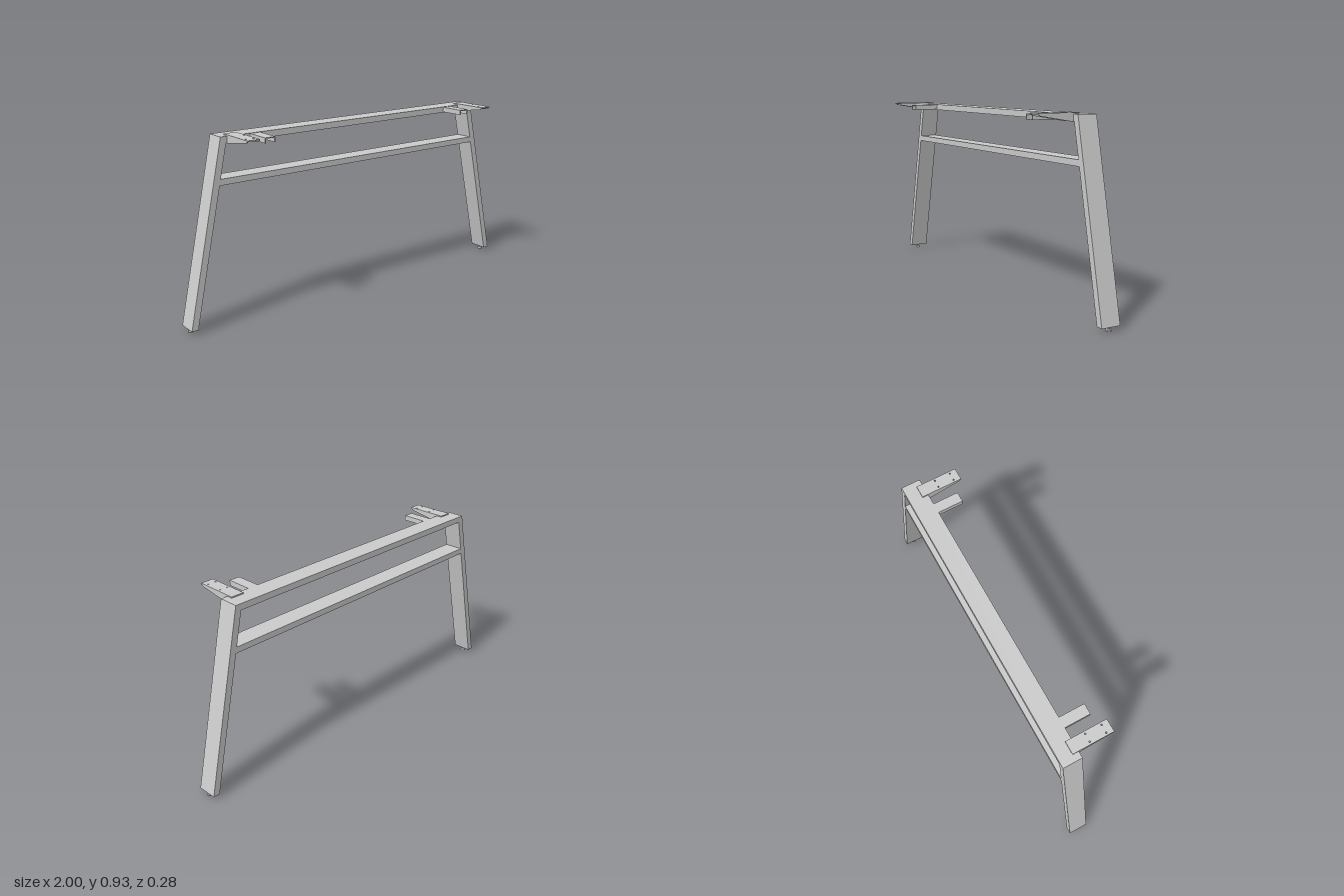
import * as THREE from 'three';

const material = new THREE.MeshStandardMaterial({ color: 0xcccccc, flatShading: true });
const smooth = new THREE.MeshStandardMaterial({ color: 0xcccccc });

const BACK = -0.143, DEPTH = 0.1, FRONT = BACK + DEPTH;
const LEG_BOTTOM = 0.02, TOP = 0.926, BEAM_BOTTOM = 0.895;
// x of a leg's outer and inner face at a given height
const outerX = (y) => 1 - 0.2 * (y - LEG_BOTTOM) / (TOP - LEG_BOTTOM);
const innerX = (y) => outerX(y) - 0.034;

const polygon = (points) => new THREE.Shape(points.map(([x, y]) => new THREE.Vector2(x, y)));
const extrude = (shape, depth) => new THREE.ExtrudeGeometry(shape, { depth, bevelEnabled: false, curveSegments: 8 });

function add(parent, name, geometry, mat = material) {
  const mesh = new THREE.Mesh(geometry, mat);
  mesh.name = name;
  parent.add(mesh);
  return mesh;
}

// Bar of the frame: outline in x/y, full frame depth
const frameBar = (points) => extrude(polygon(points), DEPTH).translate(0, 0, BACK);

// Upright plate: outline in z/y, centred on x
const sidePlate = (points, thickness, x) =>
  extrude(polygon(points), thickness).rotateY(-Math.PI / 2).translate(x + thickness / 2, 0, 0);

// Tapered channel, open below, with a drilled top plate
function supportBracket() {
  const group = new THREE.Group();
  const half = 0.033, top = 0.933, t = 0.006;
  const plate = polygon([[-half, -0.075], [half, -0.075], [half, 0.14], [-half, 0.14]]);
  for (const x of [-0.02, 0.02]) for (const z of [0.02, 0.105]) {
    plate.holes.push(new THREE.Path().absarc(x, z, 0.004, 0, Math.PI * 2, true));
  }
  add(group, 'bracketPlate', extrude(plate, t).rotateX(Math.PI / 2).translate(0, top, 0));
  for (const s of [-1, 1]) {
    add(group, 'bracketFlange', sidePlate(
      [[FRONT, 0.892], [0.132, 0.921], [0.14, top - 0.001], [FRONT, top - 0.001]], 0.005, s * (half - 0.0025)));
  }
  return group;
}

// Short channel, open below
function shortChannel() {
  const w = 0.0275, t = 0.005, y0 = 0.898, y1 = 0.924, length = 0.09 - FRONT;
  return extrude(polygon([
    [-w, y0], [-w + t, y0], [-w + t, y1 - t], [w - t, y1 - t],
    [w - t, y0], [w, y0], [w, y1], [-w, y1],
  ]), length).translate(0, 0, FRONT);
}

// Levelling foot: domed pad on a threaded stem
function levellingFoot() {
  const group = new THREE.Group();
  const pad = [[0, 0], [0.014, 0], [0.014, 0.005], [0.011, 0.009], [0.004, 0.01], [0, 0.01]]
    .map(([x, y]) => new THREE.Vector2(x, y));
  add(group, 'footPad', new THREE.LatheGeometry(pad, 20), material);
  add(group, 'footStem', new THREE.CylinderGeometry(0.0045, 0.0045, 0.014, 16).translate(0, 0.015, 0), smooth);
  return group;
}

export function createModel() {
  const model = new THREE.Group();
  model.name = 'tableFrame';

  // Top beam, mitred into the legs
  add(model, 'topBeam', frameBar([
    [-innerX(BEAM_BOTTOM), BEAM_BOTTOM], [innerX(BEAM_BOTTOM), BEAM_BOTTOM],
    [outerX(TOP), TOP], [-outerX(TOP), TOP]]));

  // Lower rail between the legs
  add(model, 'lowerRail', frameBar([
    [-innerX(0.7), 0.7], [innerX(0.7), 0.7], [innerX(0.73), 0.73], [-innerX(0.73), 0.73]]));

  for (const s of [-1, 1]) {
    const side = s > 0 ? 'left' : 'right';

    // Splayed leg
    add(model, side + 'Leg', frameBar([
      [s * innerX(LEG_BOTTOM), LEG_BOTTOM], [s * outerX(LEG_BOTTOM), LEG_BOTTOM],
      [s * outerX(TOP), TOP], [s * innerX(BEAM_BOTTOM), BEAM_BOTTOM]]));

    const foot = levellingFoot();
    foot.name = side + 'Foot';
    foot.position.set(s * 0.983, 0, -0.092);
    model.add(foot);

    const bracket = supportBracket();
    bracket.name = side + 'SupportBracket';
    bracket.position.x = s * 0.734;
    model.add(bracket);

    add(model, side + 'ShortChannel', shortChannel()).position.x = s * 0.618;
  }
  return model;
}
